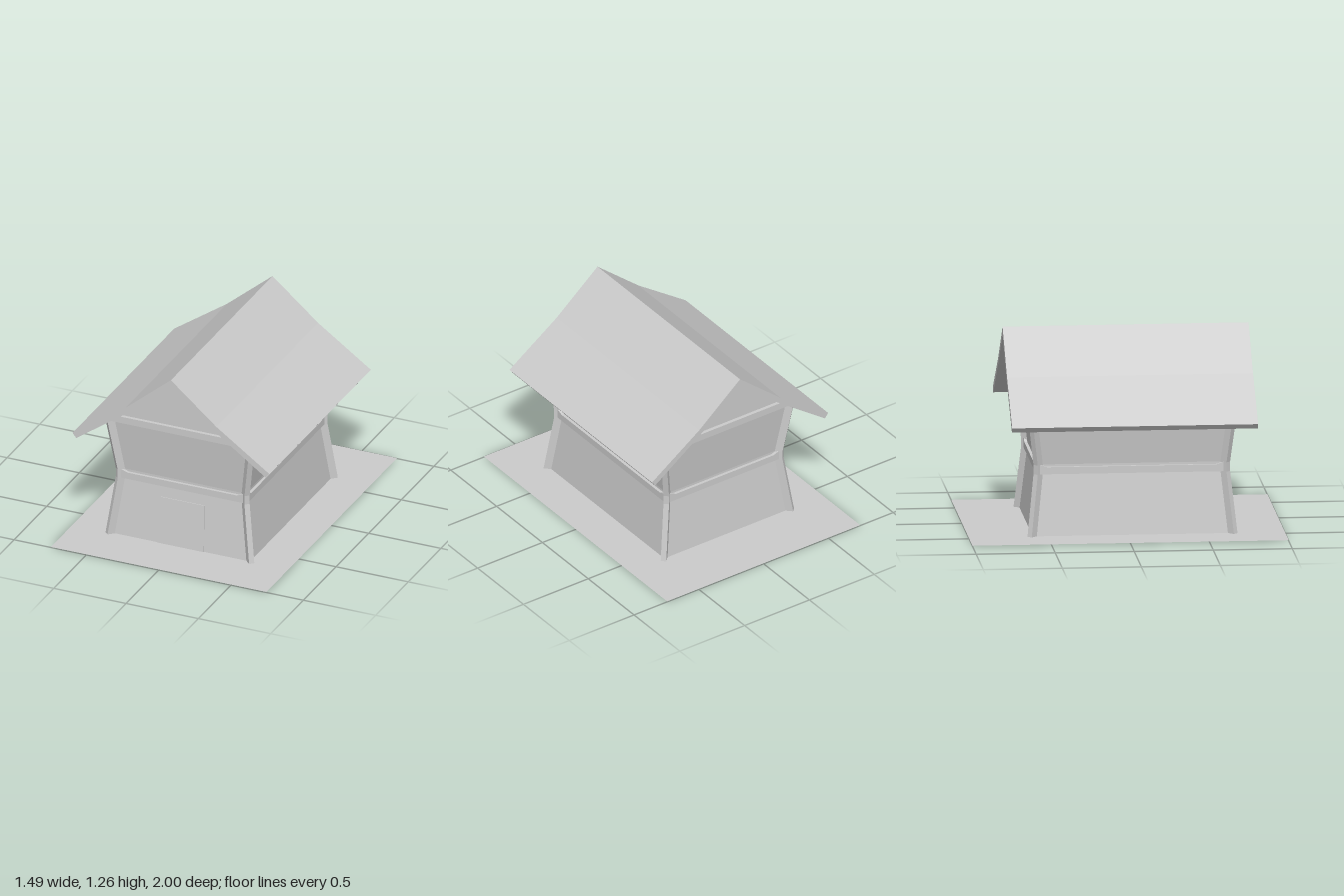
import * as THREE from 'three';

const material = new THREE.MeshStandardMaterial({ color: 0xcccccc, flatShading: true, side: THREE.DoubleSide });

// Wall outline by height: [y, half width, half depth], pinched at the waist
const LEVELS = [[0, 0.515, 0.665], [0.395, 0.463, 0.622], [0.455, 0.463, 0.622], [0.81, 0.515, 0.665]];
const INSET = 0.035; // panels sit this far behind the posts

// Solid from rings of points, bottom to top, counter-clockwise seen from above
function loft(rings) {
  const n = rings[0].length, pos = [], idx = [];
  rings.forEach(r => r.forEach(p => pos.push(...p)));
  for (let l = 0; l < rings.length - 1; l++) {
    for (let i = 0; i < n; i++) {
      const j = (i + 1) % n, a = l * n + i, b = l * n + j;
      idx.push(a, b, b + n, a, b + n, a + n);
    }
  }
  const top = (rings.length - 1) * n;
  for (let i = 1; i < n - 1; i++) idx.push(0, i + 1, i, top, top + i, top + i + 1);
  const g = new THREE.BufferGeometry();
  g.setAttribute('position', new THREE.Float32BufferAttribute(pos, 3));
  g.setIndex(idx);
  const flat = g.toNonIndexed();
  flat.computeVertexNormals();
  return flat;
}

// Mirrors a right-hand profile (listed from the middle outwards) into a closed shape
function mirrored(upper, lower) {
  const flip = ([x, y]) => [-x, y];
  const right = [...upper, ...lower];
  const pts = [...right, ...right.slice().reverse().map(flip)];
  const unique = pts.filter((p, i) => {
    const q = pts[(i + 1) % pts.length];
    return Math.hypot(p[0] - q[0], p[1] - q[1]) > 1e-6;
  });
  return unique.map(p => new THREE.Vector2(...p));
}

// Flat shape pushed out along z from z0 to z1
function slab(shape, z0, z1) {
  const g = new THREE.ExtrudeGeometry(shape, { depth: z1 - z0, bevelEnabled: false });
  g.translate(0, 0, z0);
  return g;
}

export function createModel() {
  const model = new THREE.Group();
  const house = new THREE.Group();
  house.name = 'house';
  house.position.z = 0.035;
  model.add(house);

  const add = (name, geometry, parent = house) => {
    const mesh = new THREE.Mesh(geometry, material);
    mesh.name = name;
    parent.add(mesh);
    return mesh;
  };

  // Ground sheet
  const ground = new THREE.PlaneGeometry(1.49, 2);
  ground.rotateX(-Math.PI / 2);
  ground.translate(0, 0.004, 0);
  add('ground', ground, model);

  // Recessed wall panels
  add('walls', loft(LEVELS.map(([y, W, D]) => {
    const w = W - INSET, d = D - INSET;
    return [[-w, y, d], [w, y, d], [w, y, -d], [-w, y, -d]];
  })));

  // Four bent corner posts, set diagonally
  for (const sx of [-1, 1]) for (const sz of [-1, 1]) {
    add('cornerPost', loft(LEVELS.map(([y, W, D]) => {
      const ring = [[W - 0.06, D - 0.035], [W - 0.025, D], [W, D - 0.025], [W - 0.035, D - 0.06]]
        .map(([x, z]) => [sx * x, y, sz * z]);
      return sx * sz > 0 ? ring : ring.reverse();
    })));
  }

  // Waist beams on all four sides, their tops flared at the ends
  const [, waistW, waistD] = LEVELS[1];
  for (let i = 0; i < 4; i++) {
    const [half, out] = i % 2 ? [waistD, waistW] : [waistW, waistD];
    const shape = new THREE.Shape(mirrored(
      [[half - 0.085, 0.44], [half - 0.04, 0.457]], [[half - 0.04, 0.395]]));
    const beam = add('waistBeam', slab(shape, out - 0.06, out - 0.016));
    beam.rotation.y = i * Math.PI / 2;
  }

  // Gable body filling the roof space
  const underside = [[0, 1.205], [0.31, 0.955]];
  const topD = LEVELS[3][2];
  add('gable', slab(new THREE.Shape(mirrored([...underside, [0.48, 0.832]], [[0.48, 0.809]])),
    INSET - topD, topD - INSET));

  // Gable frames: tie beam and rafters around the recessed triangle
  const frame = new THREE.Shape(mirrored([...underside, [0.5, 0.816]], [[0.49, 0.81]]));
  frame.holes.push(new THREE.Path(mirrored(
    [[0.02, 1.172], [0.295, 0.942], [0.42, 0.862]], [[0.41, 0.855]])));
  for (const turn of [0, Math.PI]) {
    add('gableFrame', slab(frame, topD - 0.045, topD - 0.012)).rotation.y = turn;
  }

  // Door lying on the sloping front panel
  const slope = (LEVELS[0][2] - LEVELS[1][2]) / LEVELS[1][0];
  add('door', loft([[0, 0.162], [0.315, 0.15]].map(([y, w]) => {
    const z = topD - INSET - slope * y;
    return [[-w, y, z + 0.005], [w, y, z + 0.005], [w, y, z - 0.02], [-w, y, z - 0.02]];
  })));

  // Roof with a slight kink in each slope
  const roof = new THREE.Shape(mirrored(
    [[0, 1.26], [0.315, 0.995], [0.68, 0.74]],
    [[0.655, 0.708], [0.31, 0.955], [0, 1.205]]));
  add('roof', slab(roof, -0.778, 0.778));

  return model;
}
